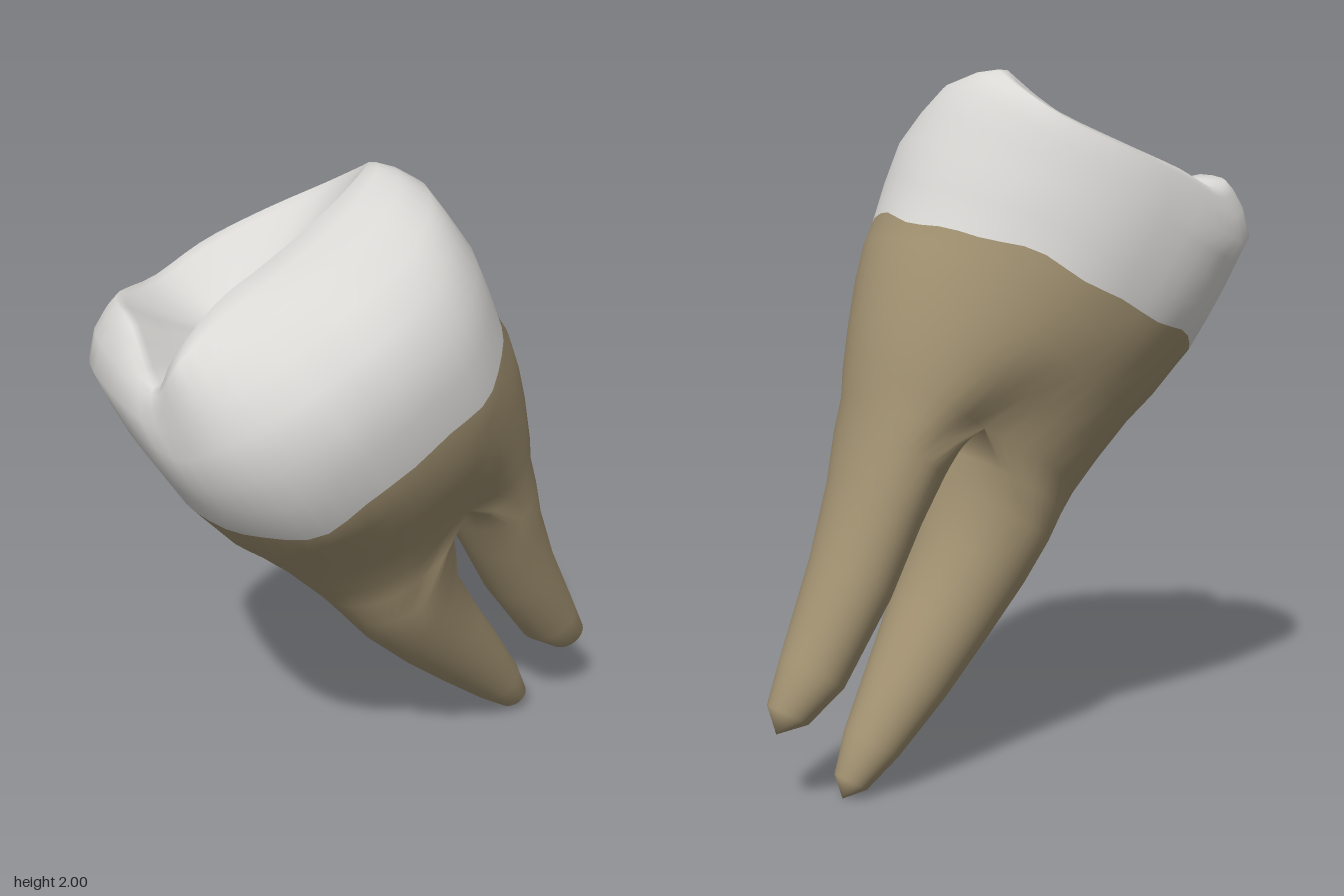
import * as THREE from 'three';
import { mergeVertices } from 'three/addons/utils/BufferGeometryUtils.js';

const N = 48; // points round every cross-section

const loop = (fn) => Array.from({ length: N }, (_, k) => fn((k / N) * Math.PI * 2, k));

// Crown or trunk section: "pinch" squeezes the flanks where the roots part,
// "box" below 1 squares off the low side
function bodyRing(y, left, mid, right, zc, hz, pinch = 0, box = 1) {
  return loop((a) => {
    const e = Math.cos(a) < 0 ? box : 1;
    const c = Math.sign(Math.cos(a)) * Math.abs(Math.cos(a)) ** e;
    const s = Math.sign(Math.sin(a)) * Math.abs(Math.sin(a)) ** e;
    const squeeze = 1 - pinch * Math.exp(-((c / 0.35) ** 2));
    return new THREE.Vector3(mid + c * (c < 0 ? mid - left : right - mid), y, zc + hz * s * squeeze);
  });
}

// Elliptical root section, starting at angle "start"
const rootRing = (start) => ([y, xc, hx, zc, hz]) => loop((a) =>
  new THREE.Vector3(xc + hx * Math.cos(a + start), y, zc + hz * Math.sin(a + start)));

// Joins a list of sections, ordered from the top down
function loft(rings, out) {
  for (let r = 0; r + 1 < rings.length; r++) {
    for (let j = 0; j < N; j++) {
      const k = (j + 1) % N;
      const a = rings[r][j], b = rings[r][k], c = rings[r + 1][k], d = rings[r + 1][j];
      for (const p of [a, b, c, a, c, d]) out.push(p.x, p.y, p.z);
    }
  }
}

const mix = (A, B, t, ty = t) => A.map((p, i) => new THREE.Vector3(
  THREE.MathUtils.lerp(p.x, B[i].x, t),
  THREE.MathUtils.lerp(p.y, B[i].y, ty),
  THREE.MathUtils.lerp(p.z, B[i].z, t)));

export function createModel() {
  const enamel = new THREE.MeshStandardMaterial({ color: 0xd9d8d5 });
  enamel.name = 'enamel white';
  const cementum = new THREE.MeshStandardMaterial({ color: 0xa09070 });
  cementum.name = 'root tan';

  // Wavy neck line between crown and root, dipping on the low front side
  const neck = bodyRing(1.2, 0.155, 0.665, 1.17, 0.095, 0.46, 0, 0.87);
  neck.forEach((p, k) => {
    const a = (k / N) * Math.PI * 2;
    p.y += -0.055 * Math.cos(a) + 0.012 * Math.sin(5 * a) + 0.006 * Math.sin(11 * a);
    p.y -= 0.045 * Math.exp(-(((a - 2.15) / 0.5) ** 2));
  });

  // Rim of the chewing surface: high ridge, long cusp, notch and low cusp
  const rimCurve = new THREE.CatmullRomCurve3([
    [1.125, 1.655, -0.02], [1.04, 1.68, 0.05], [0.92, 1.70, 0.11], [0.70, 1.735, 0.18],
    [0.55, 1.755, 0.21], [0.36, 1.755, 0.285], [0.275, 1.675, 0.225], [0.34, 1.775, 0.05],
    [0.37, 1.755, -0.16], [0.50, 1.65, -0.30], [0.68, 1.61, -0.35], [0.87, 1.575, -0.33],
    [1.05, 1.565, -0.24], [1.125, 1.605, -0.12],
  ].map((p) => new THREE.Vector3(...p)), true);
  const rim = loop((a, k) => rimCurve.getPoint(k / N));

  // Crown: basin, rim, rounded shoulder, belly, neck
  const shoulder = bodyRing(1.6, 0.185, 0.67, 1.205, 0.04, 0.415, 0, 0.72);
  shoulder.forEach((p, k) => { p.y = THREE.MathUtils.lerp(neck[k].y, rim[k].y, 0.8); });
  const belly = bodyRing(1.45, 0.155, 0.67, 1.205, 0.1, 0.48, 0, 0.8);
  belly.forEach((p, k) => { p.y = THREE.MathUtils.lerp(neck[k].y, rim[k].y, 0.45); });
  const upperBelly = mix(belly, shoulder, 0.4, 0.55);
  const basin = loop(() => new THREE.Vector3(0.58, 1.49, -0.08));
  const crownRings = [
    basin,
    mix(rim, basin, 0.75, 0.92),
    mix(rim, basin, 0.5, 0.68),
    mix(rim, basin, 0.25, 0.36),
    mix(rim, basin, 0.08, 0.09),
    rim,
    mix(shoulder, rim, 0.75, 0.9),
    mix(shoulder, rim, 0.38, 0.6),
    shoulder,
    upperBelly,
    belly,
    mix(belly, neck, 0.4, 0.5),
    neck,
  ];

  // Trunk down to the fork
  const fork = { y: 0.71, mid: 0.77, zc: 0.03, hz: 0.3, pinch: 0.27 };
  const trunkRings = [
    neck,
    bodyRing(1.08, 0.185, 0.68, 1.175, 0.085, 0.43, 0, 0.95),
    bodyRing(0.97, 0.22, 0.7, 1.16, 0.07, 0.395, 0.02),
    bodyRing(0.84, 0.255, 0.74, 1.135, 0.045, 0.345, 0.1),
    bodyRing(fork.y, 0.282, fork.mid, 1.095, fork.zc, fork.hz, fork.pinch),
  ];

  // Each root begins with half of the fork section, closed by a shared saddle line
  const forkRing = trunkRings[trunkRings.length - 1];
  function root(first, sections) {
    const start = (first / N) * Math.PI * 2;
    const top = loop((a, k) => k <= N / 2
      ? forkRing[(first + k) % N]
      : new THREE.Vector3(fork.mid, fork.y, fork.zc + fork.hz * (1 - fork.pinch) * Math.sin(a + start)));
    const lower = sections.map(rootRing(start));
    return [top, mix(top, lower[0], 0.55, 0.45), ...lower];
  }
  const longRoot = root(N / 4, [
    [0.54, 0.518, 0.207, 0.015, 0.23], [0.4, 0.5, 0.172, 0, 0.195],
    [0.2, 0.522, 0.145, -0.03, 0.16], [0, 0.555, 0.118, -0.07, 0.125],
    [-0.2, 0.588, 0.083, -0.1, 0.088], [-0.32, 0.605, 0.05, -0.115, 0.05],
    [-0.37, 0.605, 0, -0.115, 0],
  ]);
  const shortRoot = root((3 * N) / 4, [
    [0.54, 0.892, 0.146, 0.01, 0.215], [0.4, 0.87, 0.13, 0, 0.18],
    [0.18, 0.845, 0.118, -0.025, 0.145], [-0.1, 0.842, 0.096, -0.06, 0.103],
    [-0.23, 0.865, 0.062, -0.08, 0.063], [-0.29, 0.87, 0, -0.08, 0],
  ]);

  // Weld everything for smooth normals, then split by colour
  const points = [];
  loft(crownRings, points);
  const crownCount = points.length / 3;
  [trunkRings, longRoot, shortRoot].forEach((rings) => loft(rings, points));
  const raw = new THREE.BufferGeometry();
  raw.setAttribute('position', new THREE.Float32BufferAttribute(points, 3));
  const welded = mergeVertices(raw, 1e-4);
  welded.computeVertexNormals();
  const index = Array.from(welded.index.array);

  const tooth = new THREE.Group();
  tooth.name = 'tooth';
  const addPart = (name, indices, material) => {
    const geometry = new THREE.BufferGeometry();
    geometry.setAttribute('position', welded.attributes.position);
    geometry.setAttribute('normal', welded.attributes.normal);
    geometry.setIndex(indices);
    const mesh = new THREE.Mesh(geometry, material);
    mesh.name = name;
    tooth.add(mesh);
  };
  addPart('crown', index.slice(0, crownCount), enamel);
  addPart('roots', index.slice(crownCount), cementum);

  // Lean the tooth over its roots
  tooth.rotation.set(0, Math.PI / 4, 0.555);
  const model = new THREE.Group();
  model.name = 'molar';
  model.add(tooth);
  return model;
}
